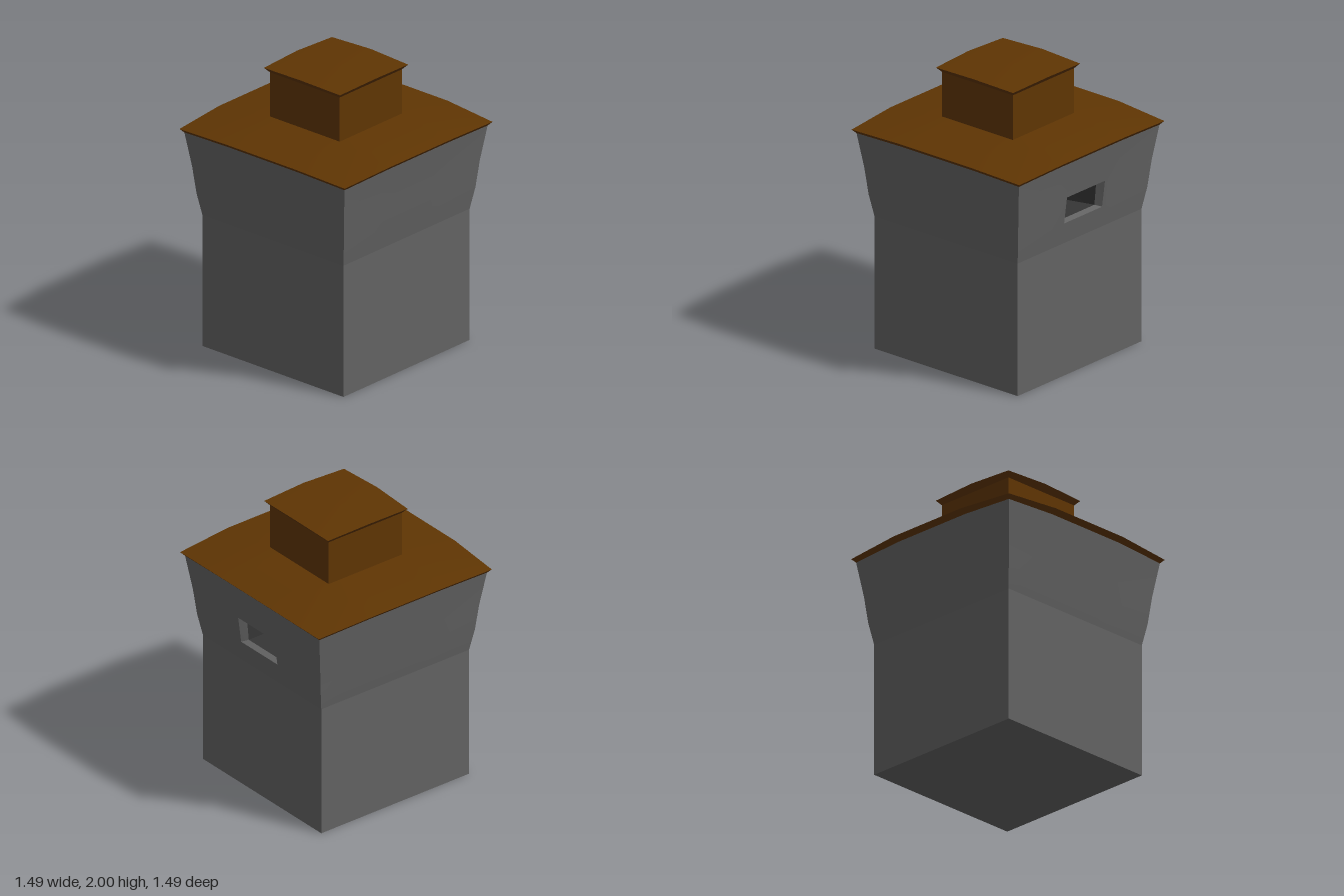
import * as THREE from 'three';
import { toCreasedNormals } from 'three/addons/utils/BufferGeometryUtils.js';

const wallMat = new THREE.MeshStandardMaterial({ color: 0x636363 });
const frameMat = new THREE.MeshStandardMaterial({ color: 0x636363, side: THREE.DoubleSide });
const recessMat = new THREE.MeshStandardMaterial({ color: 0x363636, side: THREE.DoubleSide });
const roofMat = new THREE.MeshStandardMaterial({ color: 0x5f3503 });

const BREAKS = [0.31, 0.185, -0.193, -0.31]; // wall subdivisions between two corners

// Four-sided ring whose sides may bow out: corners at c / yCorner, the rest at mid / yMid.
// Starts at the front corner of the +x side and runs anticlockwise seen from above.
function ring(mid, c, yMid, yCorner = yMid, breaks = BREAKS) {
  const up = new THREE.Vector3(0, 1, 0);
  const points = [];
  for (let side = 0; side < 4; side++) {
    const row = [new THREE.Vector3(c, yCorner, c), ...breaks.map(z => new THREE.Vector3(mid, yMid, z))];
    points.push(...row.map(p => p.applyAxisAngle(up, side * Math.PI / 2)));
  }
  return points;
}

// Skins rings one after another; skip(row, column) leaves an opening.
function loft(rings, skip = () => false) {
  const tris = [];
  for (let r = 0; r + 1 < rings.length; r++) {
    const a = rings[r], b = rings[r + 1];
    for (let i = 0; i < a.length; i++) {
      if (skip(r, i)) continue;
      const j = (i + 1) % a.length;
      tris.push([a[i], a[j], b[j]], [a[i], b[j], b[i]]);
    }
  }
  return tris;
}

// Closes a ring with a fan around one point.
function fan(points, centre) {
  return points.map((p, i) => [p, points[(i + 1) % points.length], centre]);
}

// Edges sharper than the crease angle stay hard.
function addMesh(group, name, tris, material, crease) {
  const solid = tris.filter(t => new THREE.Triangle(...t).getArea() > 1e-7);
  const geometry = new THREE.BufferGeometry().setFromPoints(solid.flat());
  const mesh = new THREE.Mesh(toCreasedNormals(geometry, crease), material);
  mesh.name = name;
  group.add(mesh);
}

export function createModel() {
  const model = new THREE.Group();
  model.name = 'watchtower';

  // Straight lower walls and flared, slightly bowed upper walls
  const walls = [
    ring(0.617, 0.617, 0),
    ring(0.617, 0.617, 0.935),
    ring(0.644, 0.644, 1.09),
    ring(0.669, 0.664, 1.28),
    ring(0.712, 0.7, 1.54, 1.525),
  ];
  const WINDOW_ROW = 2, WINDOW_COLUMN = 2;
  addMesh(model, 'walls', loft(walls, (r, i) => r === WINDOW_ROW && i === WINDOW_COLUMN), wallMat, 0.09);
  addMesh(model, 'floor', fan([...walls[0]].reverse(), new THREE.Vector3(0, 0, 0)), wallMat, 0.1);

  // Window opening on the +x side: bevelled frame, then a dark recess with one slanted cheek
  const slot = (xLow, xHigh, zFront, zBack, yLow, yHigh) => [
    new THREE.Vector3(xLow, yLow, zFront), new THREE.Vector3(xLow, yLow, zBack),
    new THREE.Vector3(xHigh, yHigh, zBack), new THREE.Vector3(xHigh, yHigh, zFront),
  ];
  const outer = slot(0.644, 0.669, 0.185, -0.193, 1.09, 1.28);
  const inner = slot(0.6, 0.615, 0.16, -0.167, 1.1, 1.257);
  const back = slot(0.4, 0.4, 0.16, -0.11, 1.1, 1.257);
  addMesh(model, 'windowFrame', loft([outer, inner]), frameMat, 0.3);
  addMesh(model, 'windowRecess', [...loft([inner, back]), ...fan(back, new THREE.Vector3(0.4, 1.178, 0))], recessMat, 0.1);

  // Main roof with a thin slanted rim and drooping corners
  const roofTop = ring(0.31, 0.31, 1.625);
  addMesh(model, 'roof', [
    ...loft([walls[4], ring(0.745, 0.723, 1.572, 1.55), roofTop]),
    ...fan(roofTop, new THREE.Vector3(0, 1.625, 0)),
  ], roofMat, 0.4);

  // Square turret on the roof
  const turret = new THREE.Mesh(new THREE.BoxGeometry(0.61, 0.33, 0.61), roofMat);
  turret.name = 'turret';
  turret.position.y = 1.78;
  model.add(turret);

  // Turret cap, a shallow peak with overhanging rim
  const capRim = ring(0.342, 0.333, 1.982, 1.972, [0]);
  addMesh(model, 'turretCap', [
    ...loft([ring(0.305, 0.305, 1.94, 1.94, [0]), capRim]),
    ...fan(capRim, new THREE.Vector3(0, 2, 0)),
  ], roofMat, 0.4);

  return model;
}
